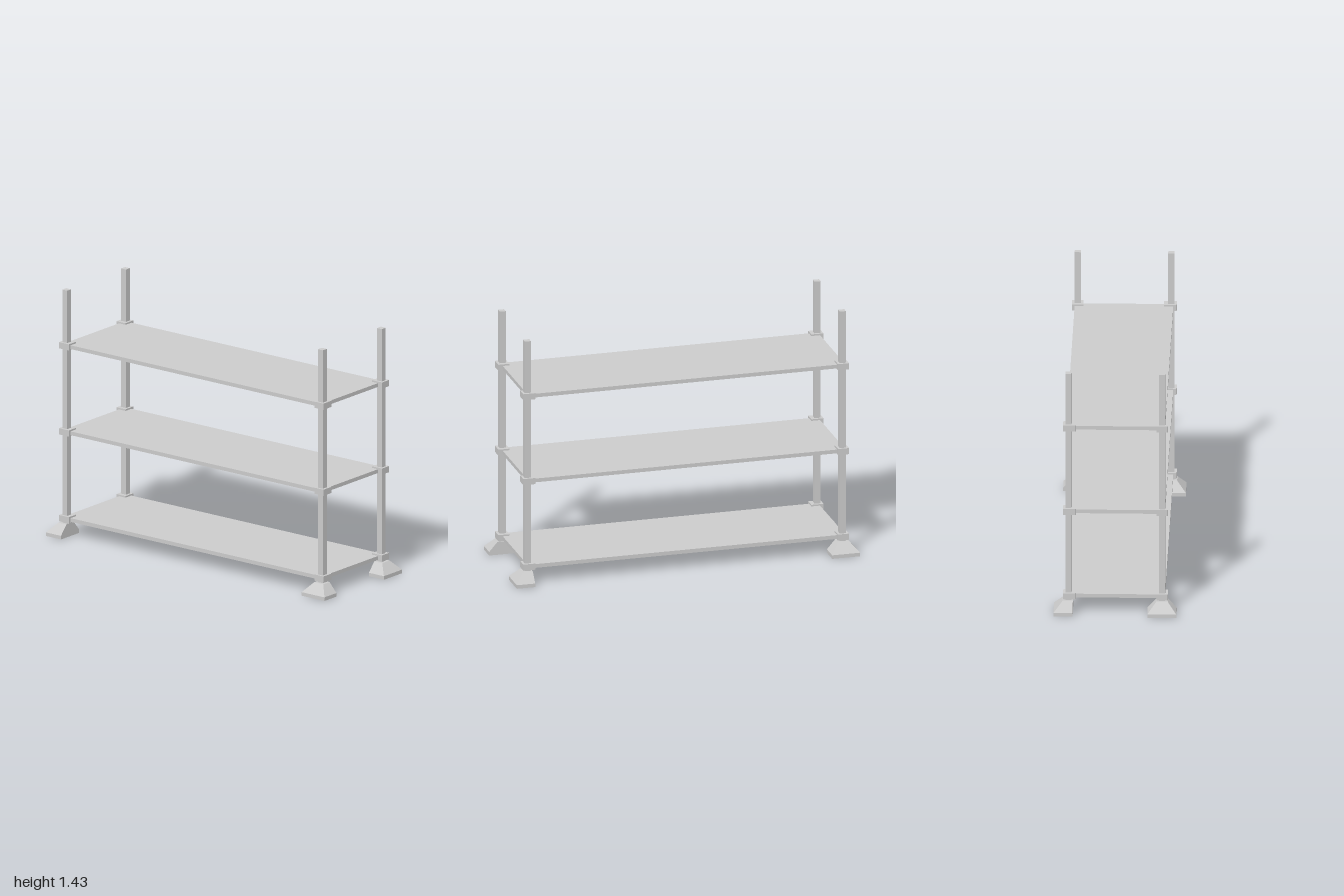
import * as THREE from 'three';

const mat = new THREE.MeshStandardMaterial({ color: 0xcccccc, flatShading: true });

function box(name, w, h, d, x, y, z) {
  const mesh = new THREE.Mesh(new THREE.BoxGeometry(w, h, d), mat);
  mesh.name = name;
  mesh.position.set(x, y, z);
  return mesh;
}

// Skin stacked rectangles [halfWidth, zOuter, zInner, y] and cap both ends
function loftRects(rects) {
  const pos = [], index = [];
  for (const [w, z0, z1, y] of rects) {
    pos.push(-w, y, z1, w, y, z1, w, y, z0, -w, y, z0);
  }
  for (let r = 0; r < rects.length - 1; r++) {
    for (let i = 0; i < 4; i++) {
      const a = r * 4 + i, b = r * 4 + (i + 1) % 4;
      index.push(a, b, b + 4, a, b + 4, a + 4);
    }
  }
  const t = (rects.length - 1) * 4;
  index.push(0, 2, 1, 0, 3, 2, t, t + 1, t + 2, t, t + 2, t + 3);
  const geo = new THREE.BufferGeometry();
  geo.setAttribute('position', new THREE.Float32BufferAttribute(pos, 3));
  geo.setIndex(index);
  const flat = geo.toNonIndexed();
  flat.computeVertexNormals();
  return flat;
}

// Half-pyramid foot, flat on its inner side and hollow underneath
const footGeometry = loftRects([
  [0.025, -0.025, 0.012, 0.062],
  [0.069, -0.071, 0.012, 0],
  [0.081, -0.083, 0.024, 0],
  [0.081, -0.083, 0.024, 0.021],
  [0.033, -0.033, 0.024, 0.076],
]);

export function createModel() {
  const group = new THREE.Group();
  group.name = 'shelfRack';
  const levels = [0.103, 0.609, 1.111];

  // Shelves
  for (const y of levels) {
    group.add(box('shelf', 1.844, 0.022, 0.55, -0.006, y - 0.002, 0));
  }

  // Corner uprights, each turned a further quarter turn
  const corners = [
    [-0.914, -0.263, 0],
    [-0.918, 0.259, Math.PI / 2],
    [0.909, 0.264, Math.PI],
    [0.914, -0.258, -Math.PI / 2],
  ];
  for (const [x, z, turn] of corners) {
    const upright = new THREE.Group();
    upright.name = 'upright';
    upright.position.set(x, 0, z);
    upright.rotation.y = turn;

    const foot = new THREE.Mesh(footGeometry, mat);
    foot.name = 'foot';
    upright.add(foot);

    upright.add(box('post', 0.035, 1.364, 0.035, 0, 0.752, 0));

    // Collars clamping the shelf corners
    for (const y of levels) upright.add(box('collar', 0.064, 0.036, 0.071, 0, y, 0.005));
    group.add(upright);
  }
  return group;
}
